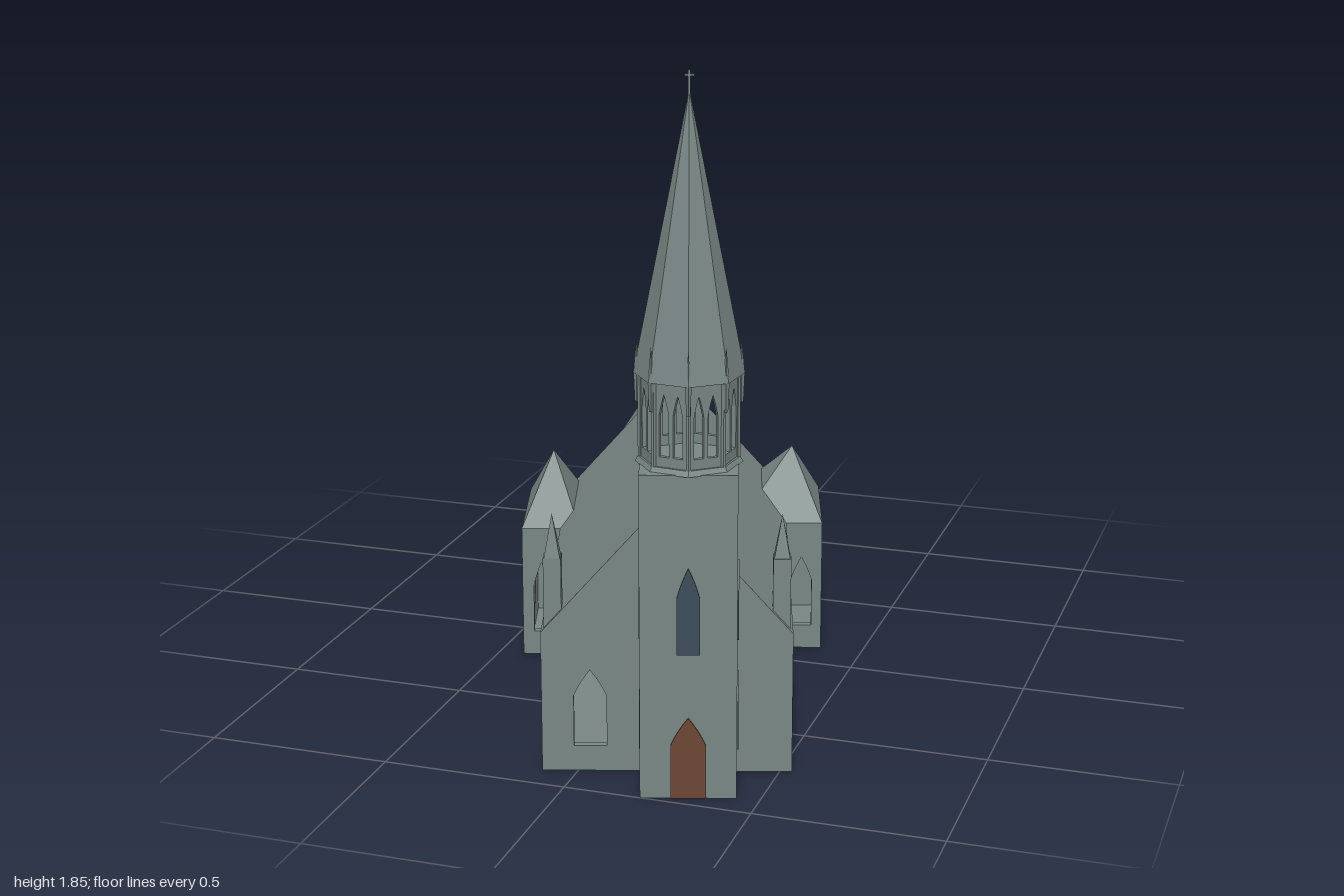
import * as THREE from 'three';

const stone = new THREE.MeshStandardMaterial({ color: 0x788684, side: THREE.DoubleSide, flatShading: true });
stone.name = 'grey stone';
const glass = new THREE.MeshStandardMaterial({ color: 0x3b4d58 });
glass.name = 'dark blue glass';
const wood = new THREE.MeshStandardMaterial({ color: 0x6b4633 });
wood.name = 'brown door wood';

function add(parent, name, geometry, material = stone, x = 0, y = 0, z = 0) {
  const mesh = new THREE.Mesh(geometry, material);
  mesh.name = name;
  mesh.position.set(x, y, z);
  parent.add(mesh);
  return mesh;
}

// Pointed window outline, drawn on a Shape or a hole Path
function lancet(path, s, w, y0, y1) {
  const h = w / 2, sh = y0 + (y1 - y0) * 0.66, c = sh + (y1 - sh) * 0.5;
  path.moveTo(s - h, y0);
  path.lineTo(s + h, y0);
  path.lineTo(s + h, sh);
  path.quadraticCurveTo(s + h * 0.65, c, s, y1);
  path.quadraticCurveTo(s - h * 0.65, c, s - h, sh);
  path.lineTo(s - h, y0);
  return path;
}

// Upright wall from a to b (x, z); outside is on the right hand of a -> b.
// Each opening: [distance from a, width, sill, tip, material or null for a hole]
function wall(parent, name, a, b, y, h, openings = [], thick = 0.018) {
  const g = new THREE.Group();
  g.name = name;
  const dx = b[0] - a[0], dz = b[1] - a[1], len = Math.hypot(dx, dz);
  g.position.set(a[0], y, a[1]);
  g.rotation.y = Math.atan2(-dz, dx);
  const shape = new THREE.Shape([[0, 0], [len, 0], [len, h], [0, h]].map((p) => new THREE.Vector2(...p)));
  for (const [s, w, y0, y1, mat] of openings) {
    if (!mat) { shape.holes.push(lancet(new THREE.Path(), s, w, y0, y1)); continue; }
    const pane = new THREE.ExtrudeGeometry(lancet(new THREE.Shape(), s, w, y0, y1),
      { depth: 0.004, bevelEnabled: false, curveSegments: 4 });
    add(g, mat === wood ? 'door' : 'windowPane', pane, mat);
  }
  const geo = new THREE.ExtrudeGeometry(shape, { depth: thick, bevelEnabled: false, curveSegments: 4 });
  add(g, 'masonry', geo, stone, 0, 0, -thick);
  parent.add(g);
}

// Hollow rectangular block; opening positions are given along x (front, back) or z (sides)
function block(parent, name, [x0, x1, z0, z1], h, sides) {
  const g = new THREE.Group();
  g.name = name;
  const corners = { front: [[x0, z1], [x1, z1]], plusSide: [[x1, z1], [x1, z0]],
    back: [[x1, z0], [x0, z0]], minusSide: [[x0, z0], [x0, z1]] };
  for (const [side, [a, b]] of Object.entries(corners)) {
    if (!sides[side]) continue;
    const axis = side === 'front' || side === 'back' ? 0 : 1;
    wall(g, side + 'Wall', a, b, 0, h,
      sides[side].map(([at, ...rest]) => [Math.abs(at - a[axis]), ...rest]));
  }
  add(g, 'floor', new THREE.BoxGeometry(x1 - x0, 0.01, z1 - z0), stone, (x0 + x1) / 2, 0.005, (z0 + z1) / 2);
  parent.add(g);
}

// Roof over a rectangle with its ridge on xr from zr0 to zr1 (gabled, hipped or pyramidal)
function roof(parent, name, [x0, x1, z0, z1], y0, y1, xr, zr0, zr1) {
  const A = [x0, y0, z0], B = [x1, y0, z0], C = [x1, y0, z1], D = [x0, y0, z1];
  const P = [xr, y1, zr0], Q = [xr, y1, zr1];
  const tris = [D, C, Q, B, A, P, C, B, P, A, D, Q];
  if (zr0 !== zr1) tris.push(C, P, Q, A, Q, P);
  const geo = new THREE.BufferGeometry();
  geo.setAttribute('position', new THREE.Float32BufferAttribute(tris.flat(), 3));
  geo.computeVertexNormals();
  add(parent, name, geo);
}

export function createModel() {
  const model = new THREE.Group();
  model.name = 'church';
  const church = new THREE.Group();
  church.name = 'turnedChurch';
  church.rotation.y = THREE.MathUtils.degToRad(17);
  model.add(church);
  const eave = 0.383, ridge = 0.748;

  // Nave
  const nave = [-0.355, 0.294, -0.305, 0.853];
  block(church, 'nave', nave, eave, {
    front: [[-0.229, 0.085, 0.07, 0.28, null]],
    plusSide: [0.713, 0.431, 0.143].map((z) => [z, 0.09, 0.07, 0.28, glass]),
    back: [[-0.052, 0.34, 0.012, 0.37, null]],
    minusSide: [0.255, 0.658].map((z) => [z, 0.13, 0.07, 0.28, glass]),
  });
  roof(church, 'naveRoof', nave, eave, ridge, -0.03, -0.305, 0.853);

  // Chancel with hipped end
  block(church, 'chancel', [-0.25, 0.146, -0.653, -0.3], eave, {
    plusSide: [[-0.49, 0.1, 0.07, 0.28, null]],
    minusSide: [[-0.49, 0.1, 0.07, 0.28, null]],
    back: [],
  });
  roof(church, 'chancelRoof', [-0.254, 0.15, -0.658, -0.3], eave, ridge, -0.053, -0.435, -0.3);

  // Low vestry at the back
  const vestry = [-0.203, 0.093, -1.015, -0.65];
  block(church, 'vestry', vestry, 0.24, {
    plusSide: [[-0.825, 0.13, 0.035, 0.18, glass]],
    minusSide: [[-0.825, 0.13, 0.035, 0.18, glass]],
    back: [[-0.055, 0.12, 0.035, 0.18, glass]],
  });
  roof(church, 'vestryRoof', vestry, 0.24, 0.36, -0.055, -1.015, -0.65);

  // Transepts under pyramid roofs
  const left = [0.156, 0.397, -0.339, -0.005], right = [-0.465, -0.3, -0.298, 0.055];
  block(church, 'leftTransept', left, eave, {
    front: [[0.338, 0.06, 0.07, 0.28, null]],
    plusSide: [[-0.172, 0.105, 0.07, 0.28, glass]],
    back: [[0.32, 0.06, 0.07, 0.28, glass]],
  });
  roof(church, 'leftTranseptRoof', left, eave, 0.565, 0.312, -0.172, -0.172);
  block(church, 'rightTransept', right, eave, {
    front: [[-0.41, 0.045, 0.07, 0.28, null]],
    minusSide: [[-0.12, 0.13, 0.07, 0.28, null]],
    back: [[-0.385, 0.06, 0.07, 0.28, null]],
  });
  roof(church, 'rightTranseptRoof', right, eave, 0.565, -0.382, -0.12, -0.12);

  // Corner pinnacles
  for (const [x, z] of [[-0.324, 0.82], [0.264, 0.816]]) {
    add(church, 'pinnacleShaft', new THREE.BoxGeometry(0.046, 0.23, 0.046), stone, x, 0.465, z);
    add(church, 'pinnacleTip', new THREE.ConeGeometry(0.029, 0.115, 4), stone, x, 0.637, z).rotation.y = Math.PI / 4;
  }

  // Tower
  const tx = 0.027, tz = 0.893, r = 0.123;
  const sideWindows = [[tz, 0.09, 0.1, 0.3, glass], [tz, 0.09, 0.4, 0.6, glass]];
  block(church, 'tower', [tx - r, tx + r, tz - r, tz + r], 0.86, {
    front: [[tx, 0.09, 0.001, 0.22, wood], [tx, 0.058, 0.39, 0.62, glass]],
    plusSide: sideWindows,
    minusSide: sideWindows,
    back: [],
  });
  add(church, 'towerTop', new THREE.BoxGeometry(2 * r, 0.01, 2 * r), stone, tx, 0.857, tz);
  add(church, 'belfryBase', new THREE.CylinderGeometry(0.128, 0.136, 0.014, 8), stone, tx, 0.867, tz);

  // Open octagonal belfry with paired lancets, brackets and small tips at its corners
  const corner = (k, rad) => [tx + rad * Math.sin(k * Math.PI / 4), tz + rad * Math.cos(k * Math.PI / 4)];
  for (let k = 0; k < 8; k++) {
    wall(church, 'belfryPanel', corner(k, 0.122), corner(k + 1, 0.122), 0.87, 0.22,
      [[0.028, 0.026, 0.03, 0.19, null], [0.065, 0.026, 0.03, 0.19, null]], 0.012);
    const [cx, cz] = corner(k, 0.122), [bx, bz] = corner(k, 0.13);
    add(church, 'belfryColumn', new THREE.CylinderGeometry(0.007, 0.007, 0.22, 6), stone, cx, 0.98, cz);
    add(church, 'spireBracket', new THREE.CylinderGeometry(0.008, 0.005, 0.075, 4), stone, bx, 1.053, bz);
    add(church, 'spireCornerTip', new THREE.ConeGeometry(0.008, 0.09, 4), stone, bx, 1.135, bz);
  }

  // Spire and cross
  add(church, 'spire', new THREE.ConeGeometry(0.139, 0.71, 8), stone, tx, 1.445, tz);
  add(church, 'crossPost', new THREE.BoxGeometry(0.006, 0.06, 0.006), stone, tx, 1.815, tz);
  add(church, 'crossArm', new THREE.BoxGeometry(0.024, 0.005, 0.006), stone, tx, 1.833, tz);
  return model;
}
